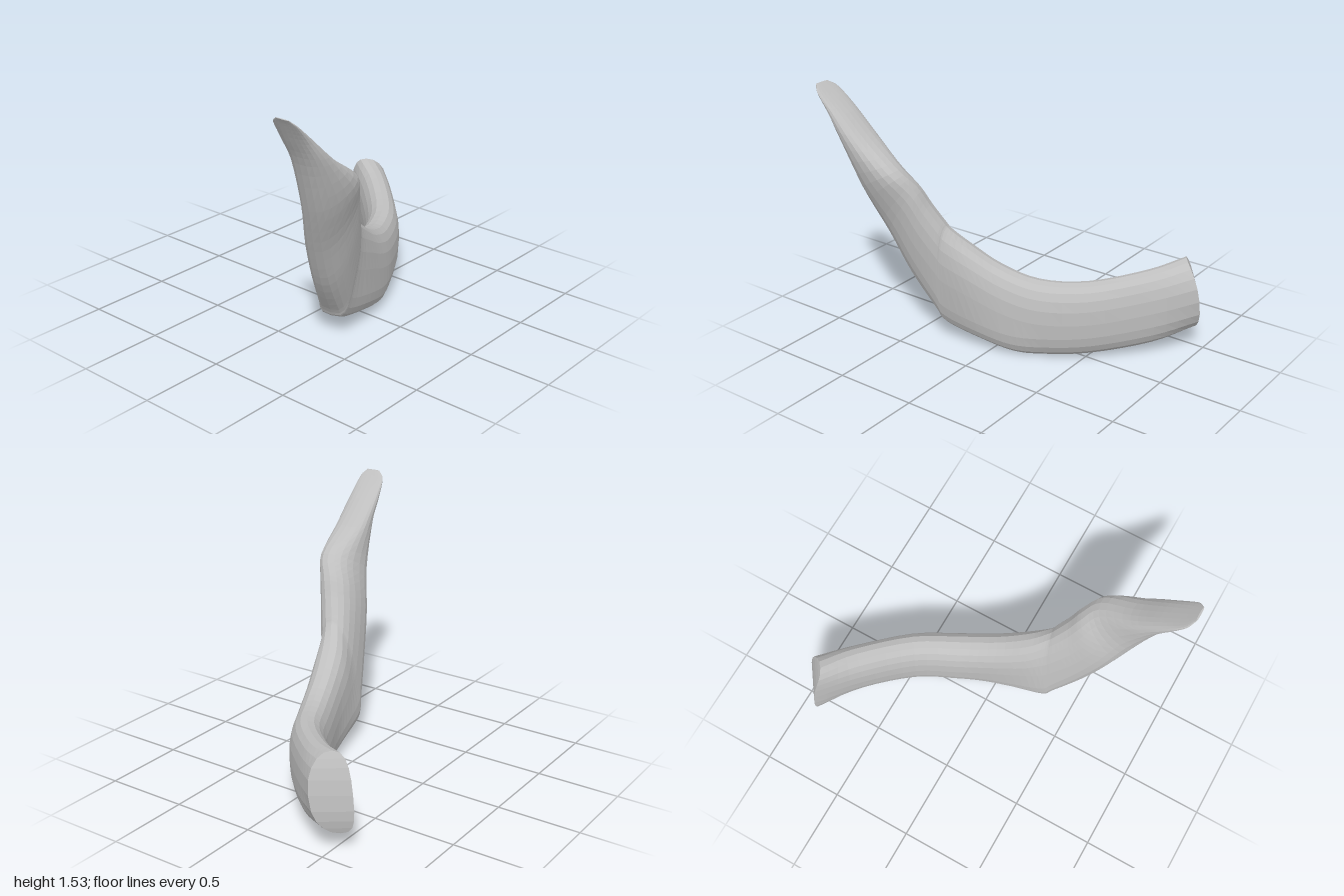
import * as THREE from 'three';

// Cross-sections from the cut end to the wedge tip:
// lower edge xyz, upper edge xyz, sideways half-thickness x and z,
// roundness of the underside (small = boxy), outward bow of the flanks in x
const SECTIONS = [
  [0.9, 0.11, -0.545, 0.87, 0.56, -0.475, 0.068, 0.095, 0.8, 0.05],
  [0.755, 0.065, -0.29, 0.74, 0.515, -0.28, 0.075, 0.075, 0.8, 0],
  [0.5, 0.02, -0.045, 0.49, 0.468, -0.03, 0.06, 0.088, 0.8, 0],
  [0.27, 0.0, 0.09, 0.24, 0.465, 0.11, 0.05, 0.1, 0.75, 0],
  [0.11, 0.008, 0.165, 0.03, 0.535, 0.195, 0.048, 0.103, 0.6, 0],
  [-0.09, 0.055, 0.215, -0.14, 0.645, 0.265, 0.045, 0.107, 0.5, 0],
  [-0.3, 0.105, 0.245, -0.24, 0.735, 0.325, 0.02, 0.105, 0.5, 0],
  [-0.355, 0.175, 0.27, -0.27, 0.78, 0.345, 0.025, 0.107, 0.6, 0],
  [-0.5, 0.4, 0.335, -0.33, 0.89, 0.39, 0.03, 0.11, 0.8, 0],
  [-0.62, 0.66, 0.39, -0.38, 1.0, 0.435, 0.03, 0.11, 0.85, 0],
  [-0.74, 0.95, 0.46, -0.46, 1.105, 0.5, 0.01, 0.112, 0.85, 0],
  [-0.85, 1.25, 0.5, -0.65, 1.24, 0.5, 0, 0.11, 0.85, 0],
  [-0.92, 1.39, 0.505, -0.81, 1.38, 0.505, 0, 0.1, 0.85, 0],
  [-0.975, 1.49, 0.515, -0.94, 1.488, 0.515, 0, 0.085, 0.85, 0],
  [-1.0, 1.53, 0.525, -0.99, 1.53, 0.525, 0, 0.045, 0.85, 0],
];
const SIDES = 20;
const STEPS = 56;

function buildBranch() {
  const curve = (pick) => new THREE.CatmullRomCurve3(SECTIONS.map(pick), false, 'catmullrom', 0.5);
  const lower = curve((s) => new THREE.Vector3(s[0], s[1], s[2]));
  const upper = curve((s) => new THREE.Vector3(s[3], s[4], s[5]));
  const side = curve((s) => new THREE.Vector3(s[6], 0, s[7]));
  const form = curve((s) => new THREE.Vector3(s[8], s[9], 0));
  const power = (v, e) => Math.sign(v) * Math.abs(v) ** e;
  const positions = [];
  const index = [];

  // Rounded rings along the bent branch
  for (let i = 0; i <= STEPS; i++) {
    const t = i / STEPS;
    const low = lower.getPoint(t);
    const high = upper.getPoint(t);
    const across = side.getPoint(t);
    const shape = form.getPoint(t);
    const centre = low.clone().add(high).multiplyScalar(0.5);
    const half = high.clone().sub(low).multiplyScalar(0.5);
    for (let j = 0; j < SIDES; j++) {
      const a = (j / SIDES) * Math.PI * 2;
      const c = Math.cos(a);
      const s = Math.sin(a);
      const e = c < 0 ? shape.x : 0.86;
      const p = centre.clone()
        .addScaledVector(half, power(c, e))
        .addScaledVector(across, power(s, e));
      positions.push(p.x + shape.y * s * s, Math.max(0, p.y), p.z);
    }
  }
  for (let i = 0; i < STEPS; i++) {
    for (let j = 0; j < SIDES; j++) {
      const k = (j + 1) % SIDES;
      const a = i * SIDES + j;
      const b = i * SIDES + k;
      index.push(a, a + SIDES, b, b, a + SIDES, b + SIDES);
    }
  }
  // Caps at the cut end and the tip, closed in strips across the ring
  const last = STEPS * SIDES;
  for (let j = 0; j < SIDES / 2; j++) {
    const a = j;
    const b = j + 1;
    const c = (SIDES - j) % SIDES;
    const d = SIDES - j - 1;
    index.push(a, b, d, a, d, c);
    index.push(last + a, last + d, last + b, last + a, last + c, last + d);
  }

  const geometry = new THREE.BufferGeometry();
  geometry.setAttribute('position', new THREE.Float32BufferAttribute(positions, 3));
  geometry.setIndex(index);
  geometry.computeVertexNormals();
  return geometry;
}

export function createModel() {
  const group = new THREE.Group();
  group.name = 'bentBranch';
  const grey = new THREE.MeshStandardMaterial({ color: 0xbfbfbf, flatShading: true });
  grey.name = 'plain grey';
  const branch = new THREE.Mesh(buildBranch(), grey);
  branch.name = 'branch';
  group.add(branch);
  return group;
}
